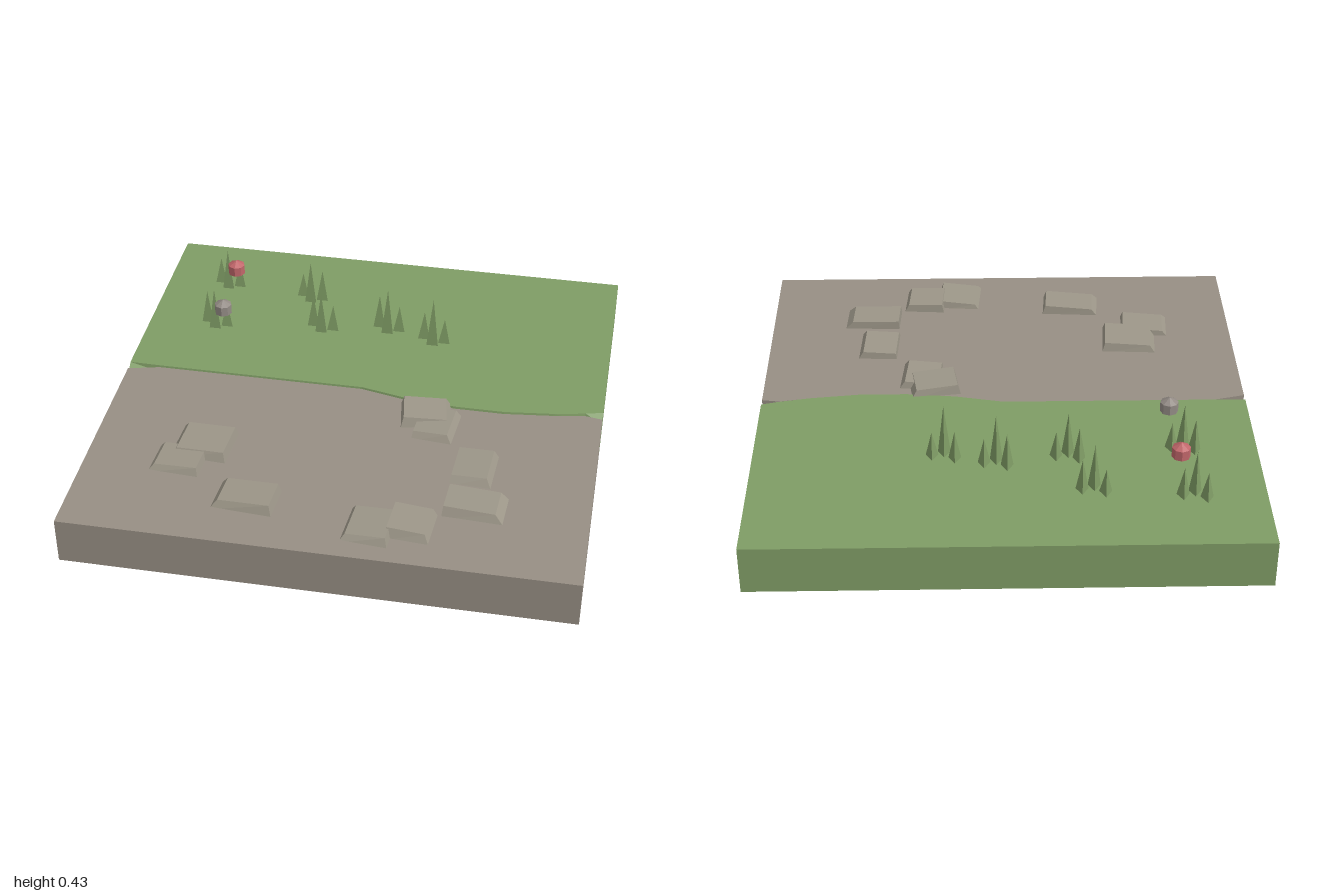
import * as THREE from 'three';

const mat = (name, color) => {
  const m = new THREE.MeshStandardMaterial({ color, flatShading: true });
  m.name = name;
  return m;
};

// Border between grass and soil: x, z of the soil edge, z of the grass top edge
const BORDER = [
  [-1, 0, -0.04], [-0.87, -0.032, -0.038], [0, -0.032, -0.038], [0.2, 0.012, 0.005],
  [0.4, 0.033, 0.026], [0.6, 0.033, 0.026], [0.8, 0.01, 0.003], [0.93, -0.012, -0.022], [1, 0, -0.04],
];
const SOIL_TOP = 0.195, GRASS_TOP = 0.2;

// Slab from the border to the front (z = 1) or back (z = -1) edge
function slabGeometry(farZ, depth, steps) {
  const pts = BORDER.map(([x, z]) => new THREE.Vector2(x, -z));
  pts.push(new THREE.Vector2(1, -farZ), new THREE.Vector2(-1, -farZ));
  const geo = new THREE.ExtrudeGeometry(new THREE.Shape(pts), { depth, steps, bevelEnabled: false });
  return geo.rotateX(-Math.PI / 2);
}

// Grass slab with a sloping bank along the border
function grassGeometry() {
  const geo = slabGeometry(-1, GRASS_TOP, 2);
  const p = geo.attributes.position;
  for (let i = 0; i < p.count; i++) {
    const y = p.getY(i);
    if (y > 0.05 && y < 0.15) p.setY(i, 0.17);
    if (y > 0.15 && p.getZ(i) > -0.5) {
      const edge = BORDER.find(([x]) => Math.abs(x - p.getX(i)) < 1e-3);
      p.setZ(i, edge[2]);
    }
  }
  geo.computeVertexNormals();
  return geo;
}

// Flat stone: a box whose top is shrunk, shifted and tilted
function rockGeometry(w, d, h, dx, dz, tilt) {
  const geo = new THREE.BoxGeometry(w, h, d).toNonIndexed();
  const p = geo.attributes.position;
  for (let i = 0; i < p.count; i++) {
    const x = p.getX(i), z = p.getZ(i);
    if (p.getY(i) > 0) p.setXYZ(i, x * 0.82 + dx, h + tilt * Math.sign(x), z * 0.84 + dz);
    else p.setXYZ(i, x, -0.01, z);
  }
  geo.computeVertexNormals();
  return geo;
}

export function createModel() {
  const model = new THREE.Group();
  const grass = mat('grass green', 0x7f9c65);
  const soil = mat('soil brown', 0x978f84);
  const stone = mat('stone grey', 0x9c9688);
  const red = mat('berry red', 0xc0666a);
  const grey = mat('ball grey', 0x938b85);

  const add = (name, geo, material, x = 0, y = 0, z = 0, parent = model) => {
    const mesh = new THREE.Mesh(geo, material);
    mesh.name = name;
    mesh.position.set(x, y, z);
    parent.add(mesh);
    return mesh;
  };

  // Ground
  add('soilSlab', slabGeometry(1, SOIL_TOP, 1), soil);
  add('grassSlab', grassGeometry(), grass);

  // Stones: x, z, width, depth, turn, height, top shift x, top shift z, tilt
  const rocks = new THREE.Group();
  rocks.name = 'rocks';
  model.add(rocks);
  [
    [0.29, 0.10, 0.21, 0.17, 0.14, 0.036, -0.005, -0.005, -0.005],
    [0.345, 0.17, 0.17, 0.20, -0.09, 0.027, -0.012, -0.008, 0.003],
    [0.53, 0.415, 0.17, 0.21, -0.05, 0.028, -0.01, -0.012, 0.003],
    [0.565, 0.64, 0.245, 0.16, -0.05, 0.034, -0.018, -0.01, -0.003],
    [0.18, 0.825, 0.19, 0.20, -0.08, 0.026, 0.004, -0.008, 0.006],
    [0.335, 0.79, 0.18, 0.18, -0.07, 0.034, -0.006, -0.01, -0.003],
    [-0.555, 0.445, 0.235, 0.20, -0.06, 0.034, 0.008, -0.006, 0.004],
    [-0.63, 0.565, 0.21, 0.165, -0.06, 0.026, 0.008, -0.008, 0.005],
    [-0.315, 0.745, 0.25, 0.16, -0.07, 0.033, 0.008, -0.008, 0.006],
  ].forEach(([x, z, w, d, turn, h, dx, dz, tilt]) => {
    add('rock', rockGeometry(w, d, h, dx, dz, tilt), stone, x, SOIL_TOP, z, rocks).rotation.y = turn;
  });

  // Grass tufts: x, z of the first blade, then the three blade heights
  const blades = [[0, 0], [0.042, 0.041], [0.09, 0.019]];
  [
    [-0.765, -0.72, 0.12, 0.19, 0.13],
    [-0.749, -0.405, 0.15, 0.19, 0.12],
    [-0.38, -0.677, 0.11, 0.195, 0.145],
    [-0.289, -0.455, 0.15, 0.19, 0.12],
    [-0.005, -0.497, 0.155, 0.215, 0.12],
    [0.2, -0.443, 0.13, 0.225, 0.115],
  ].forEach(([x, z, ...heights]) => {
    const tuft = new THREE.Group();
    tuft.name = 'grassTuft';
    tuft.position.set(x, GRASS_TOP, z);
    model.add(tuft);
    blades.forEach(([bx, bz], i) => {
      const blade = new THREE.ConeGeometry(0.029, heights[i], 3);
      add('blade', blade, grass, bx, heights[i] / 2, bz, tuft).rotation.y = Math.PI;
    });
  });

  // Small faceted balls above two of the tufts
  const ball = new THREE.SphereGeometry(0.042, 8, 3);
  add('redFlowerHead', ball, red, -0.668, 0.345, -0.613);
  add('greyFlowerHead', ball, grey, -0.652, 0.345, -0.3);

  return model;
}
